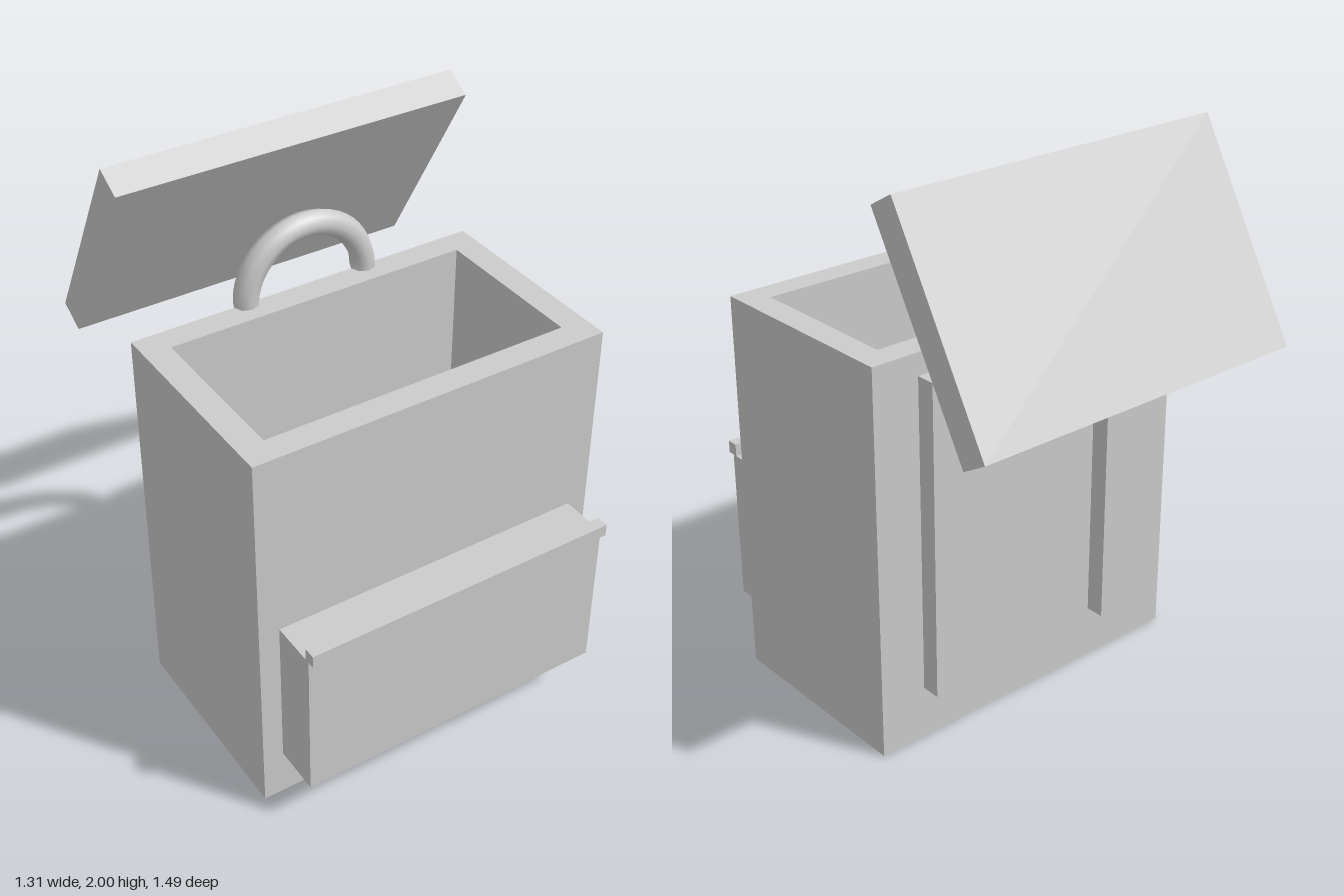
import * as THREE from 'three';

export function createModel() {
  const model = new THREE.Group();
  const grey = new THREE.MeshStandardMaterial({ color: 0xcccccc, side: THREE.DoubleSide });
  grey.name = 'light grey';

  const add = (name, geometry, x = 0, y = 0, z = 0) => {
    const mesh = new THREE.Mesh(geometry, grey);
    mesh.name = name;
    mesh.position.set(x, y, z);
    model.add(mesh);
    return mesh;
  };
  // box given by its minimum and maximum corners
  const box = (name, [x0, y0, z0], [x1, y1, z1]) =>
    add(name, new THREE.BoxGeometry(x1 - x0, y1 - y0, z1 - z0),
      (x0 + x1) / 2, (y0 + y1) / 2, (z0 + z1) / 2);
  const rectangle = (PathType, w, d) => new PathType([
    new THREE.Vector2(-w / 2, -d / 2), new THREE.Vector2(w / 2, -d / 2),
    new THREE.Vector2(w / 2, d / 2), new THREE.Vector2(-w / 2, d / 2),
  ]);

  // hollow bag body: thick floor and a rectangular ring of walls
  const floor = 0.095;
  const outline = rectangle(THREE.Shape, 1.31, 0.77);
  outline.holes.push(rectangle(THREE.Path, 1.12, 0.58));
  const walls = new THREE.ExtrudeGeometry(outline, { depth: 1.43 - floor, bevelEnabled: false });
  walls.rotateX(-Math.PI / 2);
  add('bodyWalls', walls, 0, floor, 0.16);
  box('bodyFloor', [-0.655, 0, -0.225], [0.655, floor, 0.545]);

  // open lid tilted back behind the body
  const lid = add('lid', new THREE.BoxGeometry(1.31, 0.81, 0.11), 0, 1.6225, -0.495);
  lid.rotation.x = Math.PI / 6;

  // carrying loop
  add('handle', new THREE.TorusGeometry(0.23, 0.045, 8, 24, Math.PI), 0, 1.43, -0.225);

  // front pocket with a lip along its top edge
  box('pocket', [-0.58, 0.18, 0.545], [0.58, 0.75, 0.72]);
  box('pocketLip', [-0.58, 0.75, 0.703], [0.58, 0.795, 0.746]);

  // shoulder straps on the back
  for (const side of [-1, 1]) {
    add(side > 0 ? 'leftStrap' : 'rightStrap',
      new THREE.BoxGeometry(0.19, 1.155, 0.07), side * 0.383, 0.7725, -0.26);
  }
  return model;
}
